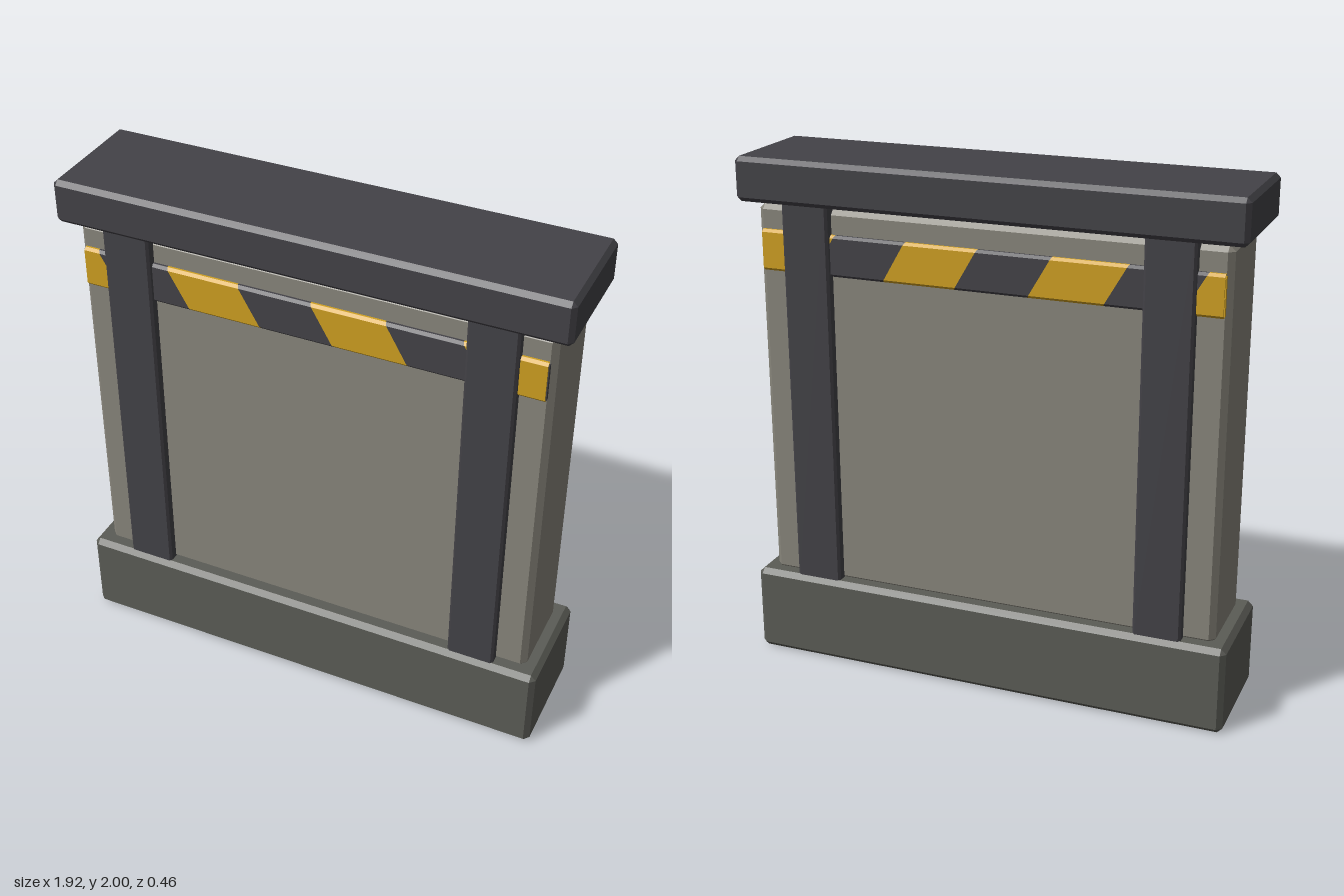
import * as THREE from 'three';
import { ConvexGeometry } from 'three/addons/geometries/ConvexGeometry.js';

const material = (name, color) => {
  const m = new THREE.MeshStandardMaterial({ color });
  m.name = name;
  return m;
};

// Box with every edge cut by a small flat chamfer, given by its extents
function chamferBox(x0, x1, y0, y1, z0, z1, c) {
  const points = [];
  for (const i of [0, 1]) for (const j of [0, 1]) for (const k of [0, 1]) {
    const x = i ? x1 : x0, y = j ? y1 : y0, z = k ? z1 : z0;
    const dx = i ? -c : c, dy = j ? -c : c, dz = k ? -c : c;
    points.push(
      new THREE.Vector3(x, y + dy, z + dz),
      new THREE.Vector3(x + dx, y, z + dz),
      new THREE.Vector3(x + dx, y + dy, z)
    );
  }
  return new ConvexGeometry(points);
}

// Hazard strip dimensions
const END = 0.877, LOW = 1.572, HIGH = 1.728, LEAN = 0.09;

// One slanted block of the strip, running between two x positions at its top
function stripeBlock(xa, xb, side) {
  const profile = [[LOW, 0.142], [LOW, 0.18], [LOW + 0.01, 0.19],
    [HIGH - 0.01, 0.19], [HIGH, 0.18], [HIGH, 0.142]];
  const points = [];
  for (const [y, z] of profile) {
    const shift = LEAN * (HIGH - y) / (HIGH - LOW);
    for (const x of [xa, xb]) {
      const px = Math.abs(x) >= END ? x : x + shift;
      points.push(new THREE.Vector3(px, y, z * side));
    }
  }
  return new ConvexGeometry(points);
}

export function createModel() {
  const group = new THREE.Group();
  group.name = 'barrierWall';

  const dark = material('dark metal', 0x434247);
  const stone = material('wall grey', 0x88857b);
  const concrete = material('base grey', 0x5b5c56);
  const yellow = material('hazard yellow', 0xcfa021);

  const add = (name, geometry, mat, parent = group) => {
    const mesh = new THREE.Mesh(geometry, mat);
    mesh.name = name;
    parent.add(mesh);
    return mesh;
  };

  // Main masses
  add('base', chamferBox(-0.955, 0.955, 0, 0.345, -0.228, 0.228, 0.02), concrete);
  add('wallPanel', chamferBox(-0.9, 0.9, 0.33, 1.822, -0.172, 0.172, 0.022), stone);
  add('topBeam', chamferBox(-0.96, 0.96, 1.833, 2, -0.23, 0.23, 0.017), dark);

  // Posts reach through the wall and show on both faces
  add('rightPost', chamferBox(-0.782, -0.598, 0.33, 1.85, -0.21, 0.21, 0.009), dark);
  add('leftPost', chamferBox(0.598, 0.782, 0.33, 1.85, -0.21, 0.21, 0.009), dark);

  // Striped strips on the front and back
  const cuts = [-END, -0.82, -0.54, -0.26, 0.02, 0.3, 0.58, END];
  for (const side of [1, -1]) {
    const strip = new THREE.Group();
    strip.name = side > 0 ? 'frontHazardStrip' : 'backHazardStrip';
    group.add(strip);
    for (let i = 0; i < cuts.length - 1; i++) {
      add('stripe' + (i + 1), stripeBlock(cuts[i], cuts[i + 1], side), i % 2 ? dark : yellow, strip);
    }
    // End caps: dark on the front strip, yellow on the back strip
    for (const x of [-1, 1]) {
      const cap = add('stripEnd', new THREE.BoxGeometry(0.005, 0.14, 0.038), side > 0 ? dark : yellow, strip);
      cap.position.set(x * (END + 0.001), (LOW + HIGH) / 2, side * 0.165);
    }
  }
  return group;
}
